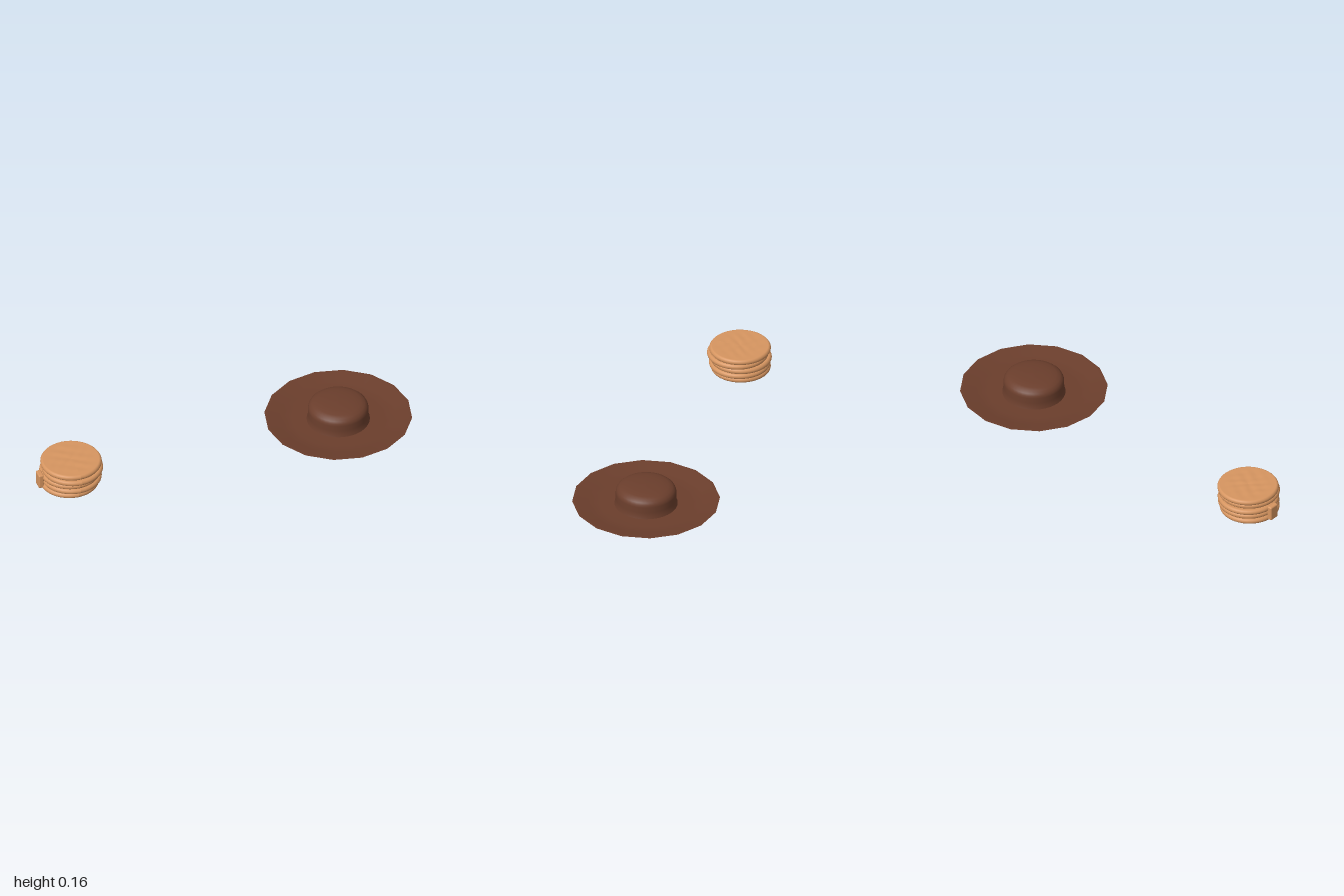
import * as THREE from 'three';
import { RoundedBoxGeometry } from 'three/addons/geometries/RoundedBoxGeometry.js';

const chocolate = new THREE.MeshStandardMaterial({ color: 0x6b3e2c });
const baked = new THREE.MeshStandardMaterial({ color: 0xd69560 });

function lathe(name, profile, segments, material) {
  const points = profile.map(([r, y]) => new THREE.Vector2(r, y));
  const mesh = new THREE.Mesh(new THREE.LatheGeometry(points, segments), material);
  mesh.name = name;
  return mesh;
}

// Round-edged biscuit with a gently uneven top face
function biscuit(index, radius) {
  const half = 0.0145;
  const profile = [[0, -half], [radius * 0.5, -half]];
  for (let i = 0; i <= 8; i++) {
    const a = -Math.PI / 2 + (i / 8) * Math.PI;
    profile.push([radius - 0.014 + 0.014 * Math.cos(a), half * Math.sin(a)]);
  }
  for (let i = 7; i >= 0; i--) profile.push([(radius - 0.014) * i / 8, half]);
  const mesh = lathe('biscuit' + index, profile, 40, baked);
  const pos = mesh.geometry.attributes.position;
  for (let i = 0; i < pos.count; i++) {
    const x = pos.getX(i), z = pos.getZ(i);
    const fade = 1 - Math.min(1, Math.hypot(x, z) / (radius - 0.014));
    if (pos.getY(i) > half * 0.9) {
      const wave = Math.sin(x * 75 + index) * Math.cos(z * 90 + x * 20);
      pos.setY(i, half + 0.002 * wave * Math.min(1, fade * 4));
    }
  }
  mesh.geometry.computeVertexNormals();
  return mesh;
}

export function createModel() {
  const model = new THREE.Group();

  // Sixteen-sided plate: flat base, sloped outer wall, shallow dished top
  const plate = new THREE.Group();
  plate.name = 'plate';
  plate.add(
    lathe('plateBase', [[0, 0.033], [0.295, 0.033], [0.305, 0.031]], 16, chocolate),
    lathe('plateWall', [[0.305, 0.031], [0.377, 0.066]], 16, chocolate),
    lathe('plateTop', [[0.377, 0.066], [0.36, 0.066], [0.3, 0.053], [0.24, 0.046], [0, 0.046]], 16, chocolate)
  );

  // Rounded cake standing on the plate
  const cake = lathe('cake', [
    [0.162, 0.044], [0.157, 0.06], [0.155, 0.08], [0.155, 0.11], [0.153, 0.122],
    [0.147, 0.134], [0.135, 0.145], [0.115, 0.152], [0.085, 0.157], [0.045, 0.16], [0, 0.161]
  ], 40, chocolate);
  plate.add(cake);
  plate.position.x = 0.621;
  model.add(plate);

  // Slightly untidy stack of five biscuits
  const stack = new THREE.Group();
  stack.name = 'biscuitStack';
  const offsets = [[-0.827, 0], [-0.818, 0.003], [-0.822, -0.003], [-0.814, 0.012], [-0.817, 0]];
  offsets.forEach(([x, z], i) => {
    const item = biscuit(i + 1, i === 0 ? 0.153 : 0.157);
    item.position.set(x, 0.0165 + i * 0.0283, z);
    stack.add(item);
  });
  model.add(stack);

  // Small piece leaning against the side of the stack
  const piece = new THREE.Mesh(new RoundedBoxGeometry(0.028, 0.08, 0.056, 3, 0.008), baked);
  piece.name = 'biscuitPiece';
  piece.position.set(-0.984, 0.052, -0.003);
  model.add(piece);

  return model;
}
